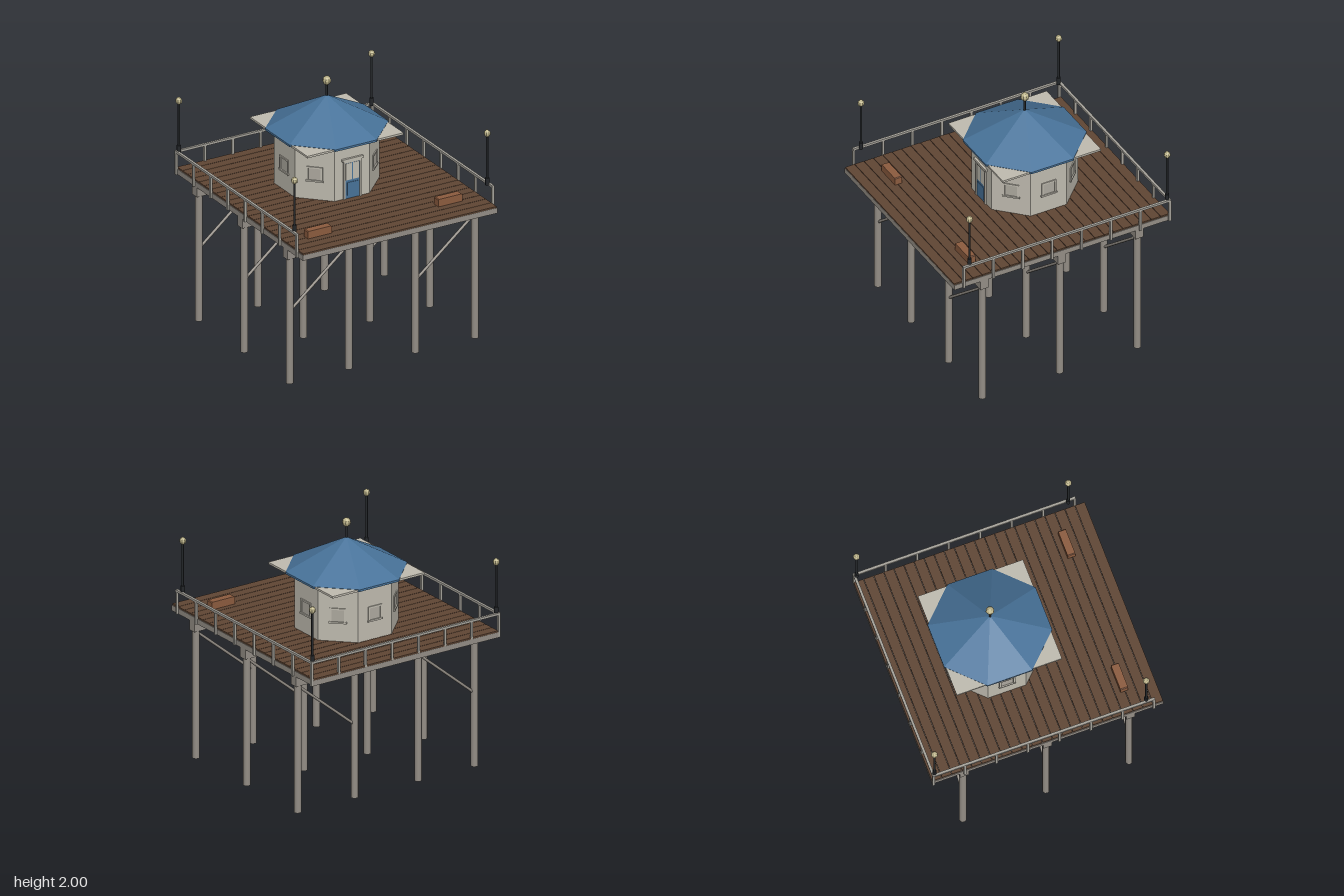
import * as THREE from 'three';

const mat = (name, color) => {
  const m = new THREE.MeshStandardMaterial({ color });
  m.name = name;
  return m;
};

// Faceted copy of a geometry
const flat = (g) => {
  const f = g.toNonIndexed();
  f.computeVertexNormals();
  return f;
};

export function createModel() {
  const M = {
    timber: mat('weatheredTimber', 0x948e86),
    deck: mat('deckBrown', 0x604634),
    bench: mat('benchBrown', 0x8c5c3f),
    wall: mat('wallGrey', 0xc0bcb0),
    pane: mat('windowGrey', 0xaeaaa0),
    rail: mat('railGrey', 0xa6a39b),
    blue: mat('roofBlue', 0x48739a),
    iron: mat('blackIron', 0x24272a),
    globe: mat('lampCream', 0xbfb68c),
  };
  const model = new THREE.Group();
  model.name = 'pierPavilion';

  const group = (name, parent = model) => {
    const g = new THREE.Group();
    g.name = name;
    parent.add(g);
    return g;
  };
  const add = (parent, name, geo, material, x = 0, y = 0, z = 0) => {
    const m = new THREE.Mesh(geo, material);
    m.name = name;
    m.position.set(x, y, z);
    parent.add(m);
    return m;
  };
  // Box given by its limits
  const box = (parent, name, material, x0, x1, y0, y1, z0, z1) =>
    add(parent, name, new THREE.BoxGeometry(x1 - x0, y1 - y0, z1 - z0), material,
      (x0 + x1) / 2, (y0 + y1) / 2, (z0 + z1) / 2);
  // Upright cylinder between two heights
  const post = (parent, name, material, r, x, z, y0, y1, sides = 8) =>
    add(parent, name, new THREE.CylinderGeometry(r, r, y1 - y0, sides), material, x, (y0 + y1) / 2, z);
  // Round bar between two points
  const bar = (parent, name, material, r, a, b) => {
    const d = b.clone().sub(a);
    const m = add(parent, name, new THREE.CylinderGeometry(r, r, d.length(), 8), material);
    m.position.copy(a).add(b).multiplyScalar(0.5);
    m.quaternion.setFromUnitVectors(new THREE.Vector3(0, 1, 0), d.normalize());
  };
  const V = (x, y, z) => new THREE.Vector3(x, y, z);

  // Piles, cross beams and braces
  const under = group('substructure');
  for (const z of [0.66, 0.003, -0.654]) {
    for (const x of [-0.8, -0.29, 0.285, 0.8]) post(under, 'pile', M.timber, 0.028, x, z, 0, 1.03, 12);
    box(under, 'crossBeam', M.timber, -0.837, 0.837, 1.02, 1.1, z - 0.034, z + 0.034);
    bar(under, 'brace', M.timber, 0.011, V(-0.785, 0.595, z), V(-0.29, 1.01, z));
    bar(under, 'brace', M.timber, 0.011, V(0.3, 0.595, z), V(0.8, 1.01, z));
  }

  // Deck slab and planks
  const deck = group('deck');
  box(deck, 'deckSlab', M.timber, -0.84, 0.84, 1.1, 1.143, -0.912, 0.918);
  const planks = 23, pitch = 1.83 / planks;
  for (let i = 0; i < planks; i++) {
    const z = -0.912 + i * pitch;
    box(deck, 'plank', M.deck, -0.835, 0.835, 1.143, 1.155, z + 0.002, z + pitch - 0.002);
  }

  // Railing on the two sides and the back
  const railing = group('railing');
  for (const s of [-1, 1]) {
    box(railing, 'sideRail', M.rail, s * 0.846 - 0.01, s * 0.846 + 0.01, 1.277, 1.295, -0.91, 0.848);
    for (let i = 0; i < 8; i++) {
      const z = 0.84 - i * 0.249;
      box(railing, 'sidePost', M.rail, s * 0.846 - 0.009, s * 0.846 + 0.009, 1.1, 1.28, z - 0.009, z + 0.009);
    }
  }
  box(railing, 'backRail', M.rail, -0.85, 0.85, 1.277, 1.295, -0.912, -0.892);
  for (let i = 1; i < 7; i++) {
    const x = -0.84 + i * 0.24;
    box(railing, 'backPost', M.rail, x - 0.009, x + 0.009, 1.1, 1.28, -0.911, -0.893);
  }

  // Corner lamps
  const globe = (parent, r, x, y, z) => {
    const m = add(parent, 'lampGlobe', flat(new THREE.SphereGeometry(r, 8, 6)), M.globe, x, y, z);
    m.scale.y = 1.08;
  };
  for (const x of [-0.832, 0.832]) for (const z of [0.785, -0.89]) {
    const lamp = group('cornerLamp');
    post(lamp, 'lampBase', M.iron, 0.016, x, z, 1.28, 1.34);
    post(lamp, 'lampPole', M.iron, 0.009, x, z, 1.34, 1.685);
    globe(lamp, 0.026, x, 1.7, z);
  }

  // Benches
  for (const s of [-1, 1]) {
    const shape = new THREE.Shape();
    const w = 0.104, h = 0.06, c = 0.006;
    [[-w, 0], [w, 0], [w, h - c], [w - c, h], [c - w, h], [-w, h - c]]
      .forEach(([x, y], i) => (i ? shape.lineTo(x, y) : shape.moveTo(x, y)));
    add(model, 'bench', new THREE.ExtrudeGeometry(shape, { depth: 0.06, bevelEnabled: false }),
      M.bench, s * 0.563, 1.155, 0.643);
  }

  // Eight-sided house
  const house = group('house');
  house.position.z = -0.143;
  const apothem = 0.366, k = 1 / Math.cos(Math.PI / 8);
  const octagon = (name, material, rTop, rBottom, y0, y1) => {
    const g = new THREE.CylinderGeometry(rTop * k, rBottom * k, y1 - y0, 8);
    g.rotateY(Math.PI / 8);
    return add(house, name, flat(g), material, 0, (y0 + y1) / 2, 0);
  };
  octagon('walls', M.wall, apothem, apothem, 1.15, 1.59);
  box(house, 'eavePlate', M.wall, -0.416, 0.416, 1.586, 1.602, -0.416, 0.416);
  octagon('roofRim', M.blue, 0.427, 0.427, 1.588, 1.604);
  octagon('roof', M.blue, 0.001, 0.427, 1.604, 1.847);
  post(house, 'finialPole', M.iron, 0.009, 0, 0, 1.83, 1.945);
  globe(house, 0.033, 0, 1.965, 0);

  // Windows on every wall but the front
  for (let i = 1; i < 8; i++) {
    const win = group('window', house);
    win.rotation.y = i * Math.PI / 4;
    const f = apothem;
    box(win, 'windowPane', M.pane, -0.05, 0.05, 1.312, 1.41, f - 0.004, f + 0.002);
    for (const s of [-1, 1]) box(win, 'windowJamb', M.wall, s * 0.055 - 0.007, s * 0.055 + 0.007, 1.31, 1.42, f - 0.004, f + 0.008);
    box(win, 'windowHead', M.wall, -0.062, 0.062, 1.407, 1.42, f - 0.004, f + 0.008);
    box(win, 'windowSill', M.wall, -0.067, 0.067, 1.3, 1.313, f - 0.004, f + 0.012);
  }

  // Front door with glazed upper half
  const door = group('door', house);
  const f = apothem;
  for (const s of [-1, 1]) box(door, 'doorJamb', M.wall, s * 0.07 - 0.008, s * 0.07 + 0.008, 1.155, 1.46, f - 0.004, f + 0.012);
  box(door, 'doorHead', M.wall, -0.078, 0.078, 1.446, 1.462, f - 0.004, f + 0.012);
  box(door, 'doorLintel', M.wall, -0.09, 0.09, 1.462, 1.482, f - 0.004, f + 0.018);
  box(door, 'doorLeaf', M.blue, -0.062, 0.062, 1.155, 1.446, f - 0.004, f + 0.004);
  box(door, 'doorPanel', M.blue, -0.046, 0.046, 1.18, 1.285, f + 0.003, f + 0.008);
  for (const s of [-1, 1]) box(door, 'doorGlass', M.wall, s * 0.031 - 0.026, s * 0.031 + 0.026, 1.305, 1.44, f + 0.003, f + 0.006);

  return model;
}
